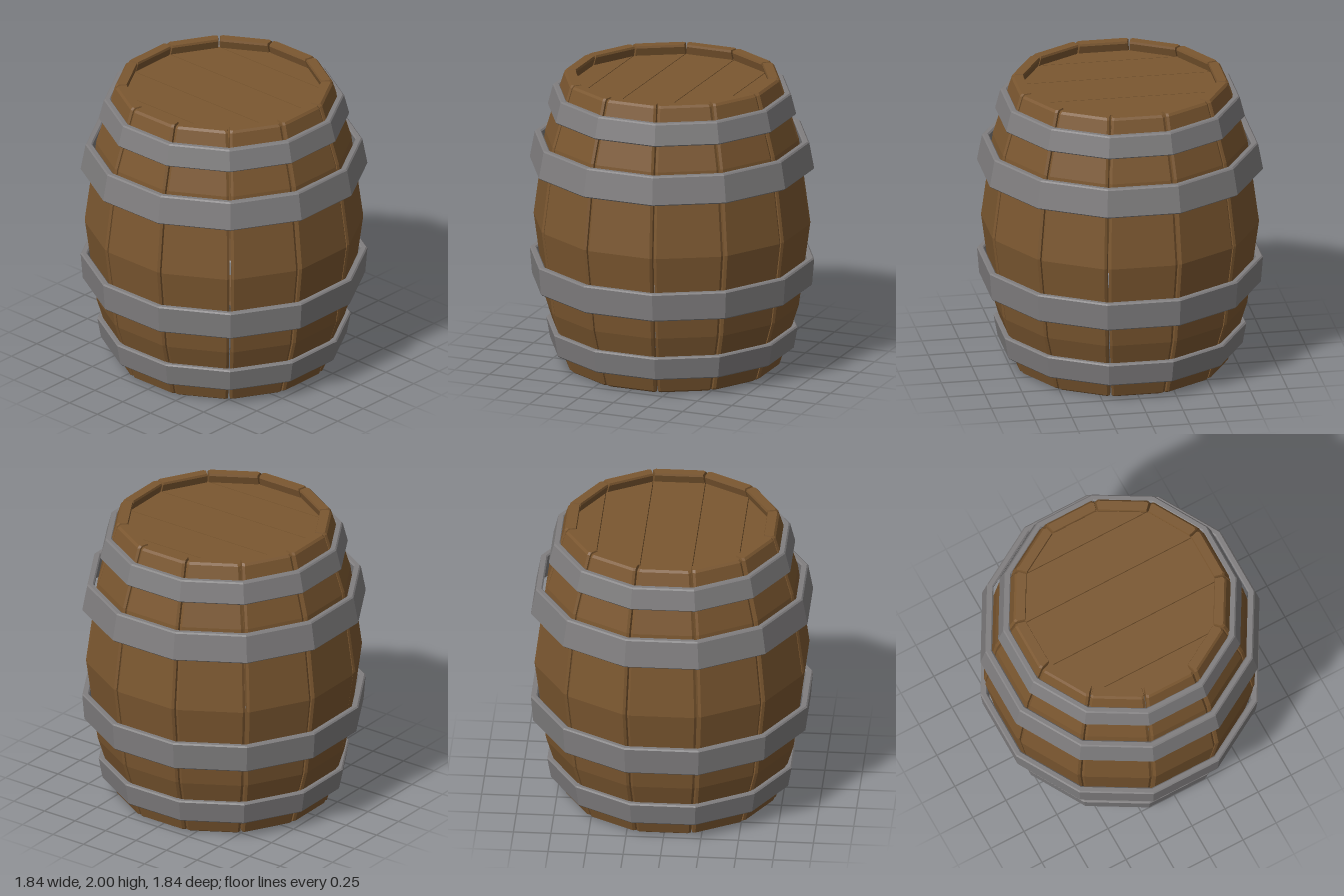
import * as THREE from 'three';

const SIDES = 12;
const HALF = Math.PI / SIDES;
const T = Math.tan(HALF);

const wood = new THREE.MeshStandardMaterial({ color: 0x7b5730, side: THREE.DoubleSide });
wood.name = 'brown wood';
const iron = new THREE.MeshStandardMaterial({ color: 0x807e7f });
iron.name = 'grey iron';

// One bent plank facing +z: chamfered face, side walls, capped top, open at the back and bottom
function staveGeometry() {
  const thick = 0.08, chamfer = 0.018, gap = 0.006;
  // height, distance from the axis, inset of the outline
  const rows = [[0, 0.69, 0.01], [0.015, 0.704, 0], [0.42, 0.825, 0], [1, 0.9, 0], [1.58, 0.825, 0],
    [1.88, 0.736, 0], [1.985, 0.704, 0], [2, 0.7, 0.01]];
  const rings = rows.map(([y, r, inset]) => {
    const outer = r - inset, inner = r - thick + inset * 0.8;
    const side = outer - chamfer * 0.7;
    const half = (d) => d * T - gap - inset * 0.3;
    return [[-half(inner), inner], [-half(side), side], [-half(outer) + chamfer, outer],
      [half(outer) - chamfer, outer], [half(side), side], [half(inner), inner]]
      .map(([x, z]) => [x, y, z]);
  });
  const pos = [];
  const tri = (a, b, c) => pos.push(...a, ...b, ...c);
  for (let i = 0; i < rings.length - 1; i++) {
    const columns = rows[i][0] > 1.8 ? 6 : 5; // the back is closed only around the rim
    for (let j = 0; j < columns; j++) {
      const k = (j + 1) % 6;
      tri(rings[i][j], rings[i][k], rings[i + 1][k]);
      tri(rings[i][j], rings[i + 1][k], rings[i + 1][j]);
    }
  }
  const top = rings[rings.length - 1];
  for (let j = 1; j < 5; j++) tri(top[0], top[j], top[j + 1]);
  const g = new THREE.BufferGeometry();
  g.setAttribute('position', new THREE.Float32BufferAttribute(pos, 3));
  g.computeVertexNormals();
  return g;
}

// Twelve-sided band with a slanted, chamfered section
function hoopGeometry(y0, r0, y1, r1) {
  const t = 0.045, b = 0.009;
  const section = [[r0 - b, y0], [r0, y0 + b], [r1, y1 - b], [r1 - b, y1],
    [r1 - t + b, y1], [r1 - t, y1 - b], [r0 - t, y0 + b], [r0 - t + b, y0], [r0 - b, y0]];
  const points = section.map(([r, y]) => new THREE.Vector2(r / Math.cos(HALF), y));
  const g = new THREE.LatheGeometry(points, SIDES, HALF).toNonIndexed();
  g.computeVertexNormals();
  return g;
}

export function createModel() {
  const barrel = new THREE.Group();
  barrel.name = 'barrel';
  const add = (name, geometry, material) => {
    const mesh = new THREE.Mesh(geometry, material);
    mesh.name = name;
    barrel.add(mesh);
    return mesh;
  };

  // Staves
  const stave = staveGeometry();
  for (let i = 0; i < SIDES; i++) add('stave', stave, wood).rotation.y = i * 2 * HALF;

  // Hoops: bottom height and radius, top height and radius
  for (const h of [[0.12, 0.79, 0.28, 0.815], [0.565, 0.908, 0.76, 0.922],
    [1.375, 0.922, 1.57, 0.89], [1.75, 0.805, 1.9, 0.772]]) {
    add('hoop', hoopGeometry(...h), iron);
  }

  // Lid: five boards cut to the twelve-sided outline, recessed below the rim
  const R = 0.65 / Math.cos(HALF);
  const corner = (i) => [R * Math.sin(HALF * (2 * i - 1)), R * Math.cos(HALF * (2 * i - 1))];
  const gap = 0.0025;
  for (let i = -2; i <= 2; i++) {
    const [xa, za] = corner(i), [xb, zb] = corner(i + 1);
    const shape = new THREE.Shape([[xa + gap, -za], [xb - gap, -zb], [xb - gap, zb], [xa + gap, za]]
      .map(([x, z]) => new THREE.Vector2(x, z)));
    const board = new THREE.ExtrudeGeometry(shape, { depth: 0.04, bevelEnabled: false });
    board.rotateX(-Math.PI / 2);
    board.translate(0, 1.89, 0);
    add('lidBoard', board, wood);
  }
  return barrel;
}
